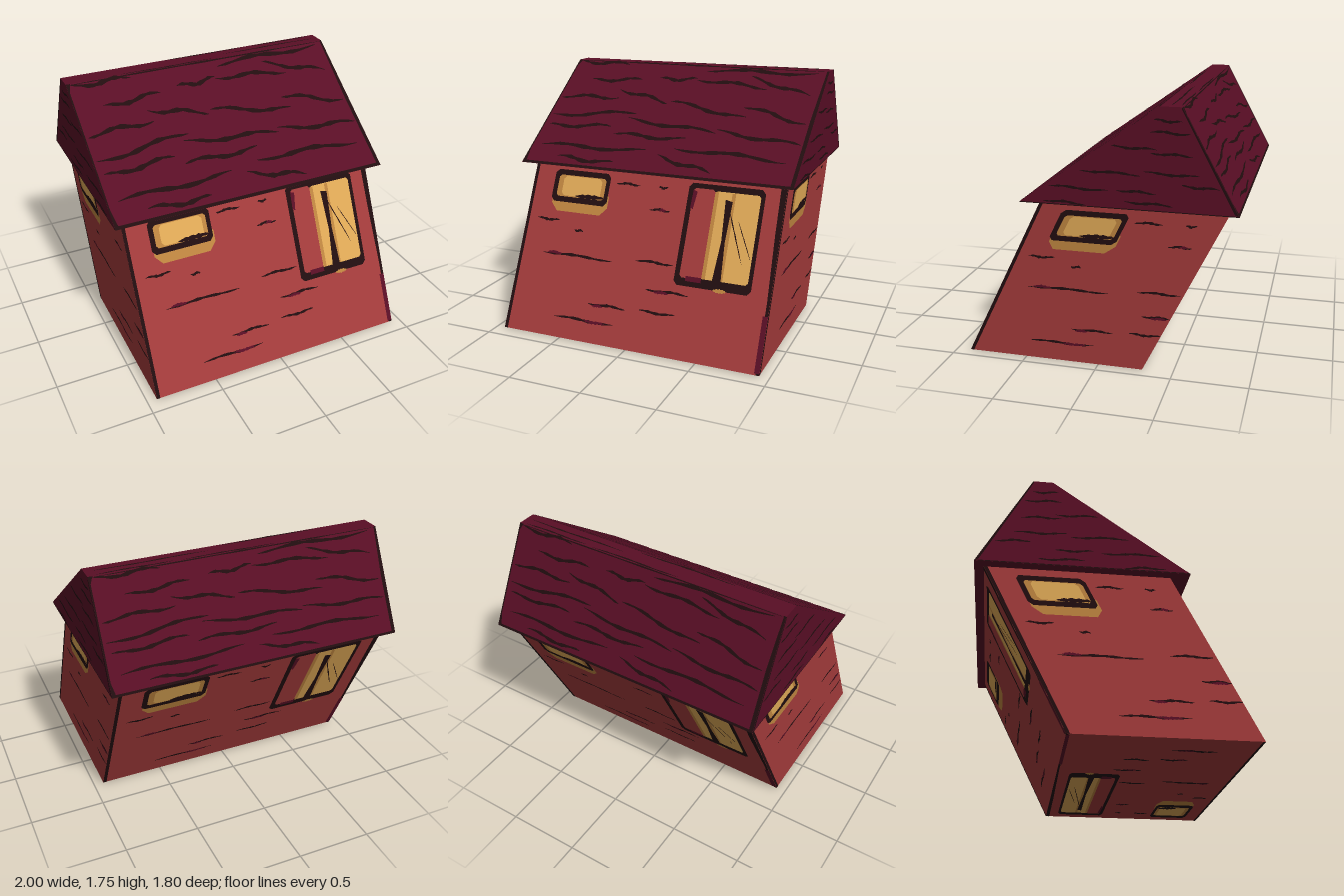
import * as THREE from 'three';

const mat = (name, color) => {
  const m = new THREE.MeshStandardMaterial({ color });
  m.name = name;
  return m;
};
const M = {
  wall: mat('brick red', 0xa33b3b),
  roof: mat('dark maroon', 0x590e25),
  ink: mat('ink black', 0x210d0f),
  glass: mat('warm yellow', 0xe0aa57),
  glow: mat('ochre', 0xbf8540),
};

const HX = 0.935, LEAN = -0.54 / 1.1, WALL_H = 1.1, RISE = 0.64;
const V = (x, y, z) => new THREE.Vector3(x, y, z);

// A painted face: u and v are the world steps for one unit of face coordinates
function face(name, origin, u, v) {
  const group = new THREE.Group();
  group.name = name;
  const n = u.clone().cross(v).normalize();
  const basis = new THREE.Matrix4().makeBasis(u, v, n).setPosition(origin);
  const paint = (part, pts, material, layer = 1) => {
    const shape = new THREE.Shape(pts.map(([x, y]) => new THREE.Vector2(x, y)));
    const g = new THREE.ShapeGeometry(shape);
    g.translate(0, 0, layer * 0.0012).applyMatrix4(basis);
    const mesh = new THREE.Mesh(g, material);
    mesh.name = part;
    group.add(mesh);
  };
  return { group, paint };
}

const rect = (x0, y0, x1, y1) => [[x0, y0], [x1, y0], [x1, y1], [x0, y1]];

// Rectangle with clipped corners, for hand-drawn looking outlines
const soft = (x0, y0, x1, y1, c) => [
  [x0 + c, y0], [x1 - c, y0], [x1, y0 + c], [x1, y1 - c],
  [x1 - c, y1], [x0 + c, y1], [x0, y1 - c], [x0, y0 + c]];

// Wavy ribbon tapering towards both ends
function stroke(x0, y0, x1, y1, w, wave = 0.008) {
  const top = [], bottom = [], n = 12;
  for (let i = 0; i <= n; i++) {
    const t = i / n, x = x0 + (x1 - x0) * t;
    const y = y0 + (y1 - y0) * t + wave * Math.sin(t * 8 + x0 * 9 + y0 * 17);
    const h = w / 2 * (0.12 + 0.88 * Math.sin(Math.PI * t) ** 0.6) * (0.8 + 0.25 * Math.sin(i * 2.3 + y0 * 30));
    top.push([x, y + h]);
    bottom.unshift([x, y - h]);
  }
  return [...top, ...bottom];
}

// Brick marks: start, height, end
const BRICKS = [
  [0.09, 0.72, 0.27], [0.4, 0.67, 0.47], [0.185, 0.51, 0.73], [0.37, 0.127, 0.82],
  [0.61, 0.235, 0.89], [0.99, 0.245, 1.25], [1.01, 0.375, 1.32], [0.9, 0.54, 1.18],
  [0.94, 0.86, 1.09], [0.66, 1.0, 0.84], [0.98, 1.0, 1.05]];
const SHADES = [[0.22, 0.515, 0.34], [0.6, 0.125, 0.76], [0.64, 0.227, 0.72], [1.01, 0.862, 1.06], [1.07, 0.368, 1.18]];

function paintWall({ paint }, width) {
  const full = width > 1.5;
  paint('leftEdgeLine', rect(0, 0, 0.024, WALL_H), M.ink);
  if (full) {
    paint('rightEdgeLine', [[1.846, 0], [1.87, 0], [1.87, 1.1], [1.83, 1.1], [1.835, 0.8], [1.85, 0.4]], M.ink);
    paint('edgeShade', rect(1.836, 0.01, 1.87, 0.33), M.roof, 2);
  }
  for (const [a, y, b] of BRICKS)
    if (a < width - 0.04) paint('brickMark', stroke(a, y, Math.min(b, width), y, 0.02, 0.004), M.ink);
  for (const [a, y, b] of SHADES)
    if (b < width) paint('brickShade', stroke(a, y, b, y, 0.022, 0.002), M.roof, 2);

  // Small window with the glow beneath its sill
  paint('windowGlow', soft(0.18, 0.78, 0.62, 0.95, 0.05), M.glow, 2);
  paint('windowFrame', soft(0.17, 0.84, 0.61, 1.05, 0.025), M.ink, 3);
  paint('windowRim', soft(0.205, 0.875, 0.58, 1.015, 0.015), M.glow, 4);
  paint('windowGlass', soft(0.245, 0.882, 0.55, 1.01, 0.02), M.glass, 5);
  paint('windowShadow', stroke(0.36, 0.885, 0.58, 0.89, 0.035, 0), M.ink, 6);
  if (!full) return;

  // Tall window with an open shutter
  paint('tallFrame', soft(1.2, 0.43, 1.735, 1.052, 0.025), M.ink, 2);
  paint('shutter', soft(1.235, 0.478, 1.39, 1.022, 0.015), M.wall, 3);
  paint('shutterShade', [[1.23, 0.9], [1.25, 0.89], [1.265, 1.0], [1.235, 1.01]], M.roof, 4);
  paint('shutterFoot', rect(1.28, 0.46, 1.39, 0.49), M.roof, 4);
  paint('tallGlass', soft(1.39, 0.485, 1.708, 1.015, 0.015), M.glass, 3);
  paint('tallGlow', rect(1.39, 0.485, 1.415, 1.01), M.glow, 4);
  paint('tallGlow', rect(1.51, 0.485, 1.535, 1.01), M.glow, 4);
  paint('sillGlow', stroke(1.48, 0.43, 1.57, 0.43, 0.03, 0), M.glow, 4);
  paint('mullion', [[1.465, 0.48], [1.525, 0.48], [1.51, 0.72], [1.52, 0.96], [1.47, 0.97], [1.485, 0.72]], M.ink, 5);
  paint('glassStreak', stroke(1.48, 0.97, 1.645, 0.6, 0.022, 0), M.ink, 5);
  paint('glassStreak', stroke(1.58, 0.85, 1.7, 0.63, 0.014, 0), M.ink, 5);
}

// Grain lines of the roof slopes: x0, y0, x1, y1 above the eaves
const GRAIN = [
  [-0.97, 0.625, -0.55, 0.625], [0.1, 0.61, 0.93, 0.62], [-0.8, 0.51, -0.38, 0.53],
  [0.05, 0.55, 0.6, 0.52], [0.45, 0.58, 0.92, 0.49], [-0.25, 0.54, 0.05, 0.55],
  [-0.97, 0.4, -0.5, 0.41], [-0.52, 0.46, -0.1, 0.4], [-0.08, 0.41, 0.52, 0.34],
  [0.48, 0.41, 0.95, 0.33], [-0.97, 0.28, -0.3, 0.33], [-0.35, 0.29, 0.35, 0.25],
  [0.35, 0.26, 0.96, 0.22], [-0.95, 0.22, -0.45, 0.24], [-0.4, 0.2, 0.15, 0.2],
  [-0.92, 0.11, -0.1, 0.12], [0.1, 0.15, 0.9, 0.13], [0, 0.1, 0.42, 0.04], [-0.75, 0.05, -0.3, 0.04]];

function paintSlope({ paint }) {
  for (const [a, b, c, d] of GRAIN) paint('grain', stroke(a, b, c, d, 0.024, 0.009), M.ink);
  paint('eaveLine', rect(-1, 0, 1, 0.014), M.ink);
  paint('rightEdgeLine', [[0.975, 0], [1, 0], [1, RISE], [0.985, RISE], [0.972, 0.35]], M.ink);
  paint('leftEdgeLine', [[-1, 0], [-0.97, 0], [-0.99, 0.08], [-0.99, 0.6], [-0.97, RISE], [-1, RISE]], M.ink);
  paint('ridgeLine', stroke(-0.99, 0.635, 0.99, 0.635, 0.009, 0), M.ink, 2);
}

// Gable grain: z0, height, z1
const GABLE = [[-0.38, 0.56, -0.55], [-0.36, 0.49, -0.6], [-0.12, 0.39, -0.4], [-0.36, 0.36, -0.62],
  [0.08, 0.23, -0.3], [-0.32, 0.24, -0.66], [0.28, 0.12, -0.1], [-0.15, 0.12, -0.4],
  [-0.55, 0.17, -0.78], [0.32, 0.025, 0.05], [-0.2, 0.05, -0.5]];

function paintGable({ paint }, s) {
  for (const [a, y, b] of GABLE) paint('grain', stroke(-a * s, y, -b * s, y - 0.01, 0.02, 0.005), M.ink);
  paint('backEdgeLine', [[0.9 * s, 0], [0.55 * s, RISE], [0.545 * s, RISE - 0.01], [0.872 * s, 0.015]], M.ink);
  paint('eaveLine', [[-0.48 * s, 0], [0.9 * s, 0], [0.89 * s, 0.006], [-0.47 * s, 0.006]], M.ink);
}

export function createModel() {
  const model = new THREE.Group();
  model.name = 'leaningHouse';
  const add = (name, geometry, material) => {
    const mesh = new THREE.Mesh(geometry, material);
    mesh.name = name;
    model.add(mesh);
  };

  // Walls: a box leaning backwards
  const walls = new THREE.BoxGeometry(2 * HX, WALL_H, 1.2).translate(0, WALL_H / 2, 0.3);
  walls.applyMatrix4(new THREE.Matrix4().set(1, 0, 0, 0, 0, 1, 0, 0, 0, LEAN, 1, 0, 0, 0, 0, 1));
  add('walls', walls, M.wall);

  // Roof: lopsided flat-topped prism running the width of the house
  const profile = new THREE.Shape([[-0.48, WALL_H], [0.9, WALL_H], [0.55, WALL_H + RISE], [0.42, WALL_H + RISE]]
    .map(([x, y]) => new THREE.Vector2(x, y)));
  const roof = new THREE.ExtrudeGeometry(profile, { depth: 2, bevelEnabled: false });
  add('roof', roof.translate(0, 0, -1).rotateY(Math.PI / 2), M.roof);

  // Painted wall faces
  const up = V(0, 1, LEAN);
  const wallFaces = [
    ['frontWallPaint', V(-HX, 0, 0.9), V(1, 0, 0), up, 1.87],
    ['backWallPaint', V(HX, 0, -0.3), V(-1, 0, 0), up, 1.87],
    ['leftWallPaint', V(HX, 0, 0.9), V(0, 0, -1), up, 1.2],
    ['rightWallPaint', V(-HX, 0, -0.3), V(0, 0, 1), up, 1.2],
    ['undersidePaint', V(-HX, 0, 0.9), V(0, 0, -1.2 / 1.87), V(1.7, 0, 0), 1.87]];
  for (const [name, o, u, v, width] of wallFaces) {
    const f = face(name, o, u, v);
    paintWall(f, width);
    model.add(f.group);
  }

  // Painted roof faces
  const front = face('frontSlopePaint', V(0, WALL_H, 0.48), V(1, 0, 0), V(0, 1, -0.9 / RISE));
  const back = face('backSlopePaint', V(0, WALL_H, -0.9), V(-1, 0, 0), V(0, 1, 0.35 / RISE));
  const left = face('leftGablePaint', V(1, WALL_H, 0), V(0, 0, -1), V(0, 1, 0));
  const right = face('rightGablePaint', V(-1, WALL_H, 0), V(0, 0, 1), V(0, 1, 0));
  const ridge = face('ridgePaint', V(0, WALL_H + RISE, -0.42), V(1, 0, 0), V(0, 0, -1));
  paintSlope(front);
  paintSlope(back);
  paintGable(left, 1);
  paintGable(right, -1);
  for (const [a, y, b] of [[-0.6, 0.01, 0.1], [0.2, 0.06, 0.95], [-0.25, 0.12, 0.4], [0.45, 0.115, 0.95]])
    ridge.paint('grain', stroke(a, y, b, y, 0.016, 0.003), M.ink);
  for (const f of [front, back, left, right, ridge]) model.add(f.group);
  return model;
}
